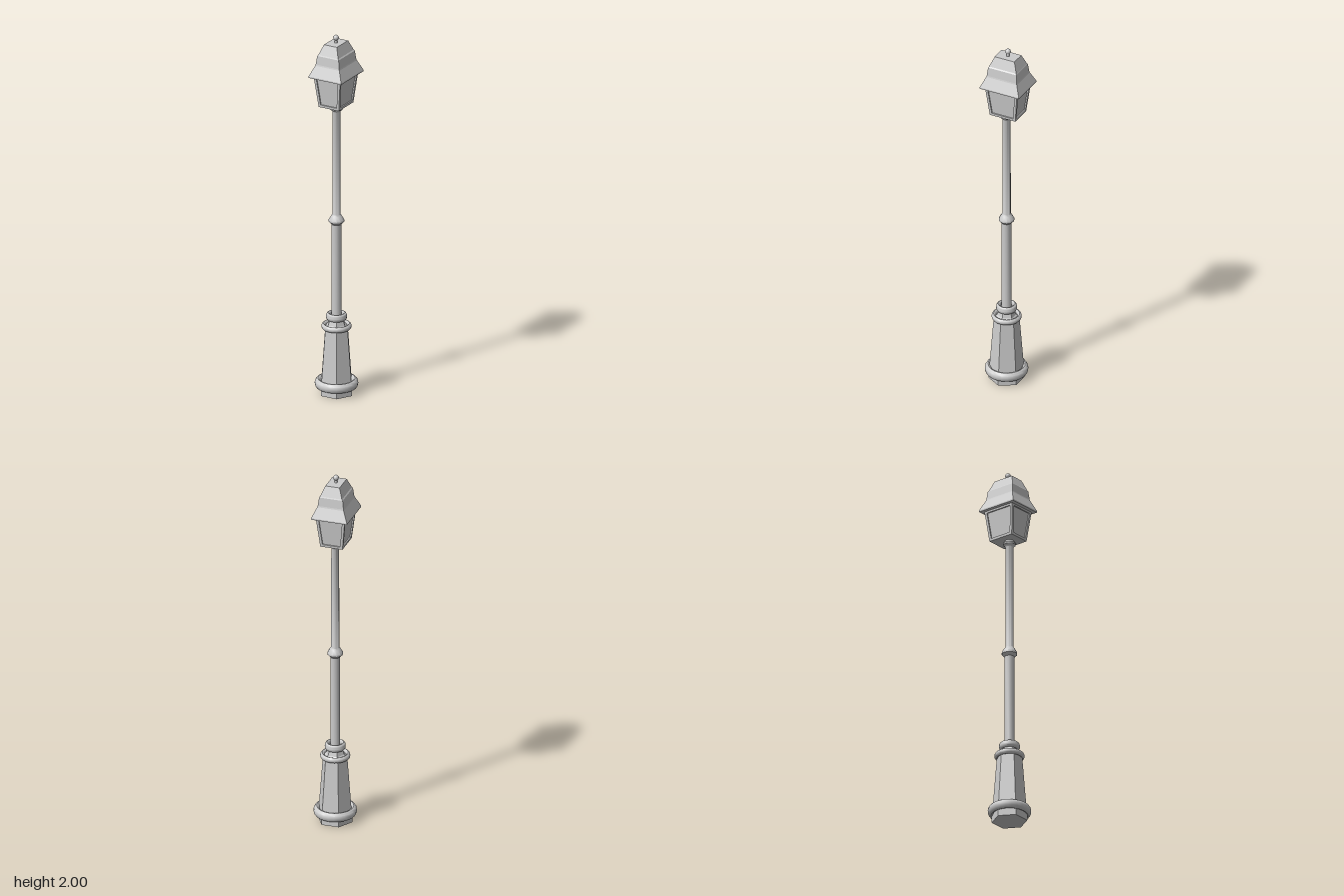
import * as THREE from 'three';
import { toCreasedNormals } from 'three/addons/utils/BufferGeometryUtils.js';

const smooth = new THREE.MeshStandardMaterial({ color: 0xcccccc });
const flat = new THREE.MeshStandardMaterial({ color: 0xcccccc, flatShading: true });

// Closed stack of rectangles, each [y, halfX, halfZ, centreX, centreZ]
function rectLoft(layers) {
  const pos = [], index = [];
  for (const [y, hx, hz, cx = 0, cz = 0] of layers) {
    for (const [sx, sz] of [[-1, 1], [1, 1], [1, -1], [-1, -1]]) pos.push(cx + sx * hx, y, cz + sz * hz);
  }
  for (let l = 0; l < layers.length - 1; l++) {
    for (let i = 0; i < 4; i++) {
      const a = l * 4 + i, b = l * 4 + (i + 1) % 4;
      index.push(a, b, b + 4, a, b + 4, a + 4);
    }
  }
  const t = (layers.length - 1) * 4;
  index.push(0, 2, 1, 0, 3, 2, t, t + 1, t + 2, t, t + 2, t + 3);
  const g = new THREE.BufferGeometry();
  g.setAttribute('position', new THREE.Float32BufferAttribute(pos, 3));
  g.setIndex(index);
  const out = g.toNonIndexed();
  out.computeVertexNormals();
  return out;
}

function lathe(points, sides) {
  const g = new THREE.LatheGeometry(points.map(([r, y]) => new THREE.Vector2(r, y)), sides);
  return toCreasedNormals(g, 0.65);
}

// Round hoop with an oval cross-section
function hoop(radius, y, halfWidth, halfHeight) {
  const pts = [];
  for (let i = 0; i <= 12; i++) {
    const a = (i / 12) * Math.PI * 2;
    pts.push([radius + Math.cos(a) * halfWidth, y + Math.sin(a) * halfHeight]);
  }
  return lathe(pts, 24);
}

export function createModel() {
  const model = new THREE.Group();
  const add = (name, geometry, material = smooth, parent = model) => {
    const mesh = new THREE.Mesh(geometry, material);
    mesh.name = name;
    parent.add(mesh);
    return mesh;
  };

  // Six-sided pedestal with corners on the x axis
  const pedestal = add('pedestal', new THREE.LatheGeometry([
    [0, 0], [0.094, 0], [0.094, 0.035], [0.091, 0.06], [0.067, 0.37],
    [0.05, 0.385], [0.042, 0.41], [0.042, 0.43], [0, 0.43],
  ].map(([r, y]) => new THREE.Vector2(r, y)), 6), flat);
  pedestal.rotation.y = Math.PI / 6 * 3;

  // Hoops around the pedestal
  add('baseHoop', hoop(0.097, 0.058, 0.017, 0.025));
  add('middleHoop', hoop(0.068, 0.375, 0.011, 0.015));
  add('upperHoop', hoop(0.044, 0.43, 0.011, 0.02));

  // Pole with a knot halfway and a collar under the lantern
  add('pole', lathe([
    [0, 0.4], [0.026, 0.4], [0.026, 0.945], [0.041, 0.96], [0.041, 0.97], [0.028, 0.992],
    [0.022, 1.0], [0.021, 1.575], [0.025, 1.582], [0.033, 1.588], [0.034, 1.597], [0.026, 1.606], [0.024, 1.615], [0, 1.615],
  ], 12));

  // Lantern, slightly off the pole axis
  const lantern = new THREE.Group();
  lantern.name = 'lantern';
  lantern.position.set(-0.006, 0, -0.005);
  model.add(lantern);

  const y0 = 1.61, y1 = 1.782;
  const size = (y) => {
    const t = (y - y0) / (y1 - y0);
    return [0.061 + 0.019 * t, 0.075 + 0.019 * t];
  };
  const section = (y, inset = 0) => [y, size(y)[0] - inset, size(y)[1] - inset];
  add('glass', rectLoft([section(y0 + 0.004, 0.007), section(y1, 0.007)]), flat, lantern);
  add('bottomRail', rectLoft([section(y0), section(y0 + 0.014)]), flat, lantern);
  add('topRail', rectLoft([section(y1 - 0.014), section(y1)]), flat, lantern);

  // Slanted corner posts
  const w = 0.007;
  for (const sx of [-1, 1]) {
    for (const sz of [-1, 1]) {
      const post = [y0 + 0.002, y1].map((y) => {
        const [hx, hz] = size(y);
        return [y, w, w, sx * (hx - w), sz * (hz - w)];
      });
      add('cornerPost', rectLoft(post), flat, lantern);
    }
  }

  // Stepped roof
  add('roof', rectLoft([
    [1.778, 0.099, 0.115], [1.786, 0.099, 0.115], [1.843, 0.073, 0.09], [1.85, 0.071, 0.088],
    [1.897, 0.065, 0.083], [1.903, 0.06, 0.08], [1.957, 0.039, 0.058],
  ]), flat, lantern);

  // Finial
  add('finialStem', new THREE.CylinderGeometry(0.008, 0.008, 0.035, 12), smooth, lantern).position.y = 1.97;
  add('finialBall', new THREE.SphereGeometry(0.015, 16, 12), smooth, lantern).position.y = 1.985;

  return model;
}
